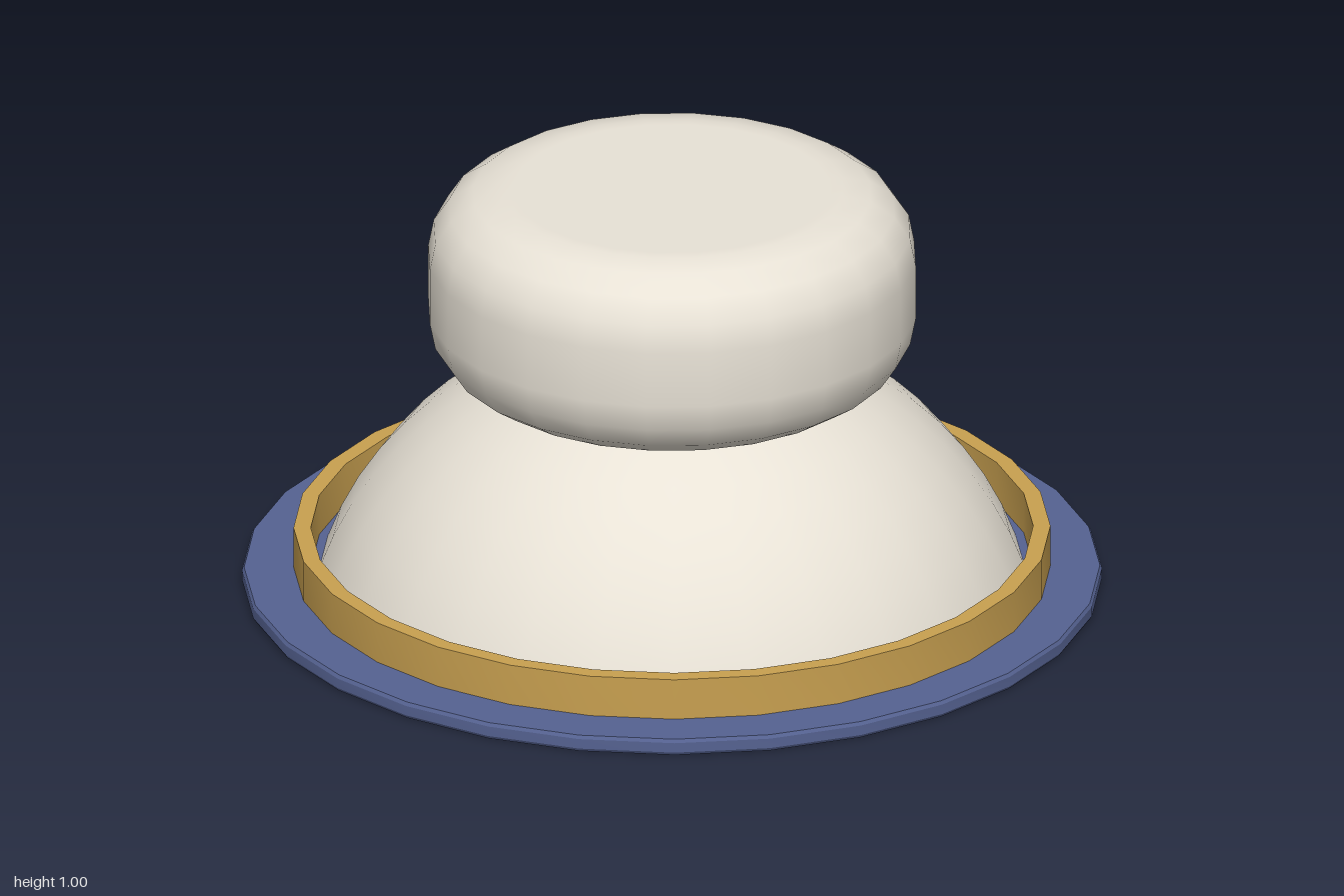
import * as THREE from 'three';
import { toCreasedNormals } from 'three/addons/utils/BufferGeometryUtils.js';

const cream = new THREE.MeshStandardMaterial({ color: 0xe8e2d6 });
const creamShell = new THREE.MeshStandardMaterial({ color: 0xe8e2d6, side: THREE.DoubleSide });
const gold = new THREE.MeshStandardMaterial({ color: 0xc8a050 });
const blue = new THREE.MeshStandardMaterial({ color: 0x556291 });

// Turned shape from [radius, height] pairs
function turned(name, profile, sides, material, crease) {
  const points = profile.map(([r, y]) => new THREE.Vector2(r, y));
  let geometry = new THREE.LatheGeometry(points, sides);
  if (crease) geometry = toCreasedNormals(geometry, crease);
  const mesh = new THREE.Mesh(geometry, material);
  mesh.name = name;
  return mesh;
}

// Points on a circular arc, from angle a to angle b
function arc(cx, cy, radius, a, b, steps) {
  return Array.from({ length: steps + 1 }, (_, i) => {
    const t = a + ((b - a) * i) / steps;
    return [Math.max(0, cx + radius * Math.cos(t)), cy + radius * Math.sin(t)];
  });
}

export function createModel() {
  const model = new THREE.Group();
  model.name = 'domedKnob';

  // Flat annular base
  model.add(turned('baseFlange', [
    [0.785, 0], [0.995, 0], [1, 0.008], [1, 0.032],
    [0.995, 0.04], [0.785, 0.04], [0.785, 0],
  ], 28, blue, 0.5));

  // Thin band standing on the base
  model.add(turned('trimRing', [
    [0.84, 0.03], [0.88, 0.03], [0.88, 0.14], [0.84, 0.14], [0.84, 0.03],
  ], 28, gold, 0.5));

  // Hollow spherical cap, open below
  const centre = -0.246, radius = 0.868;
  const start = Math.asin((0.035 - centre) / radius);
  model.add(turned('domeShell', arc(0, centre, radius, start, Math.PI / 2, 12), 28, creamShell));

  // Rounded knob with flat top and bottom
  const q = Math.PI / 2;
  model.add(turned('topKnob', [
    [0, 0.525], [0.37, 0.525],
    ...arc(0.4, 0.695, 0.17, -q, 0, 4),
    ...arc(0.4, 0.83, 0.17, 0, q, 4),
    [0.37, 1], [0, 1],
  ], 24, cream));

  return model;
}
